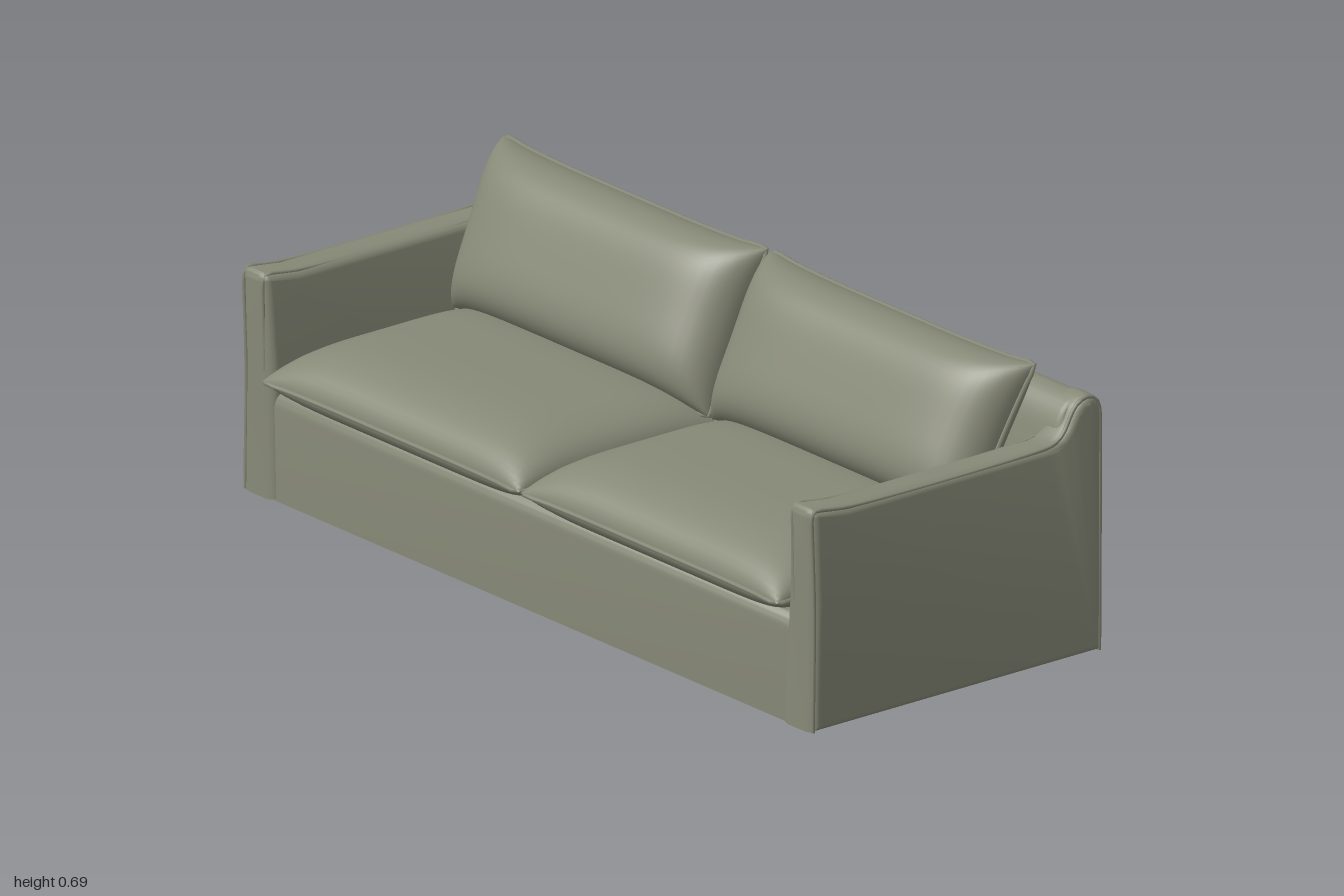
import * as THREE from 'three';
import { mergeGeometries, mergeVertices, toCreasedNormals } from 'three/addons/utils/BufferGeometryUtils.js';

const fabric = new THREE.MeshStandardMaterial({ color: 0x878977 });
fabric.name = 'olive grey fabric';

function part(name, geometry) {
  const mesh = new THREE.Mesh(geometry, fabric);
  mesh.name = name;
  return mesh;
}

function piping(name, points, closed = false, radius = 0.005) {
  const curve = new THREE.CatmullRomCurve3(points, closed);
  return part(name, new THREE.TubeGeometry(curve, points.length * 4, radius, 6, closed));
}

// Side profiles are drawn as (-z, y) and extruded across x
function extrudeAcross(shape, width, bevelX, bevel) {
  const geo = new THREE.ExtrudeGeometry(shape, {
    depth: width - 2 * bevelX, bevelThickness: bevelX, bevelSize: bevel,
    bevelOffset: -bevel, bevelSegments: 4, curveSegments: 8,
  });
  geo.translate(0, 0, -(width - 2 * bevelX) / 2);
  return geo.rotateY(Math.PI / 2);
}

function armProfile() {
  const s = new THREE.Shape();
  s.moveTo(-0.4, 0);
  s.lineTo(0.425, 0);
  s.lineTo(0.427, 0.56);
  s.bezierCurveTo(0.427, 0.6, 0.405, 0.612, 0.385, 0.61);
  s.bezierCurveTo(0.325, 0.6, 0.35, 0.518, 0.265, 0.515);
  s.lineTo(-0.3, 0.515);
  s.lineTo(-0.385, 0.526);
  s.quadraticCurveTo(-0.403, 0.528, -0.403, 0.505);
  s.lineTo(-0.396, 0.3);
  s.lineTo(-0.4, 0);
  return s;
}

function backProfile() {
  const s = new THREE.Shape();
  s.moveTo(0.27, 0);
  s.lineTo(0.423, 0);
  s.lineTo(0.425, 0.55);
  s.bezierCurveTo(0.425, 0.595, 0.405, 0.608, 0.385, 0.606);
  s.bezierCurveTo(0.345, 0.602, 0.325, 0.57, 0.315, 0.52);
  s.lineTo(0.27, 0.3);
  return s;
}

// Arm: thin at the top, its inner face leaning out from the seat
function arm(side) {
  const group = new THREE.Group();
  group.name = side > 0 ? 'leftArm' : 'rightArm';
  const geo = extrudeAcross(armProfile(), 0.11, 0.03, 0.02);
  const p = geo.attributes.position;
  for (let i = 0; i < p.count; i++) {
    const x = p.getX(i);
    if (x * side < 0) {
      const low = 1 - Math.min(p.getY(i) / 0.51, 1);
      p.setX(i, x + side * (0.02 - 0.03 * low));
    }
  }
  geo.translate(side * 0.94, 0, 0);
  group.add(part('armPanel', toCreasedNormals(geo, 0.7)));
  // Welts follow the front, top and back edges
  const outline = armProfile().getPoints(8).slice(1, -1);
  outline.push(new THREE.Vector2(-0.399, 0.006));
  outline[0].y = 0.006;
  const welt = (x, pts) => pts.map(q => new THREE.Vector3(side * x, q.y - 0.004, -q.x * 0.99));
  group.add(piping('outerWelt', welt(0.985, outline)));
  const front = outline.filter(q => q.x < 0.3 && q.y > 0.23);
  group.add(piping('innerWelt', welt(0.92, front)));
  return group;
}

// Cushion: two bulged sheets joined along a pinched outline with flared corners
function cushion(name, halfW, halfH, bulgeFront, bulgeBack, pinch, flare) {
  const group = new THREE.Group();
  group.name = name;
  const outlineAt = (u, v) => [
    u * (halfW - pinch * (1 - v * v)) + flare(u, v),
    v * (halfH - pinch * (1 - u ** 4)),
  ];
  const sheet = (bulge, dir) => {
    const geo = new THREE.PlaneGeometry(2, 2, 32, 32);
    geo.deleteAttribute('uv');
    geo.deleteAttribute('normal');
    if (dir < 0) geo.rotateY(Math.PI);
    const p = geo.attributes.position;
    for (let i = 0; i < p.count; i++) {
      const u = Math.sin(p.getX(i) * Math.PI / 2), v = Math.sin(p.getY(i) * Math.PI / 2);
      const rise = Math.sqrt(Math.max(0, (1 - u ** 6) * (1 - v ** 4)));
      const [x, y] = outlineAt(u, v);
      p.setXYZ(i, x, y, dir * bulge * rise);
    }
    return geo;
  };
  const body = mergeVertices(mergeGeometries([sheet(bulgeFront, 1), sheet(bulgeBack, -1)]), 1e-5);
  body.computeVertexNormals();
  group.add(part('cushionBody', body));
  const rim = [];
  const corners = [[-1, -1], [1, -1], [1, 1], [-1, 1]];
  corners.forEach(([a, b], k) => {
    const [c, d] = corners[(k + 1) % 4];
    for (const t of [0.015, 0.1, 0.25, 0.5, 0.75, 0.9, 0.985]) {
      const [x, y] = outlineAt(a + (c - a) * t, b + (d - b) * t);
      rim.push(new THREE.Vector3(x, y, 0));
    }
  });
  group.add(piping('cushionWelt', rim, true, 0.006));
  return group;
}

export function createModel() {
  const sofa = new THREE.Group();
  sofa.name = 'sofa';

  // Skirted base with a gently rounded top front edge
  const baseShape = new THREE.Shape();
  baseShape.moveTo(-0.392, 0);
  baseShape.lineTo(0.4, 0);
  baseShape.lineTo(0.4, 0.25);
  baseShape.lineTo(-0.36, 0.25);
  baseShape.quadraticCurveTo(-0.386, 0.25, -0.388, 0.215);
  sofa.add(part('base', toCreasedNormals(extrudeAcross(baseShape, 1.88, 0.005, 0.005), 0.6)));

  // Backrest
  sofa.add(part('backrest', toCreasedNormals(extrudeAcross(backProfile(), 1.94, 0.02, 0.012), 0.6)));

  for (const side of [1, -1]) {
    sofa.add(arm(side));

    const seat = cushion(side > 0 ? 'leftSeatCushion' : 'rightSeatCushion',
      0.446, 0.31, 0.098, 0.068, 0.008, () => 0);
    seat.rotation.x = -Math.PI / 2;
    seat.position.set(side * 0.449, 0.285, 0.113);
    sofa.add(seat);

    // Back cushion leans back, wider at its upper outer corner
    const back = cushion(side > 0 ? 'leftBackCushion' : 'rightBackCushion',
      0.45, 0.198, 0.118, 0.068, 0.012,
      (u, v) => side * 0.014 * (v + 0.3) * (1 + u * side) / 2);
    back.rotation.x = -0.44;
    back.position.set(side * 0.455, 0.508, -0.207);
    sofa.add(back);
  }
  return sofa;
}
